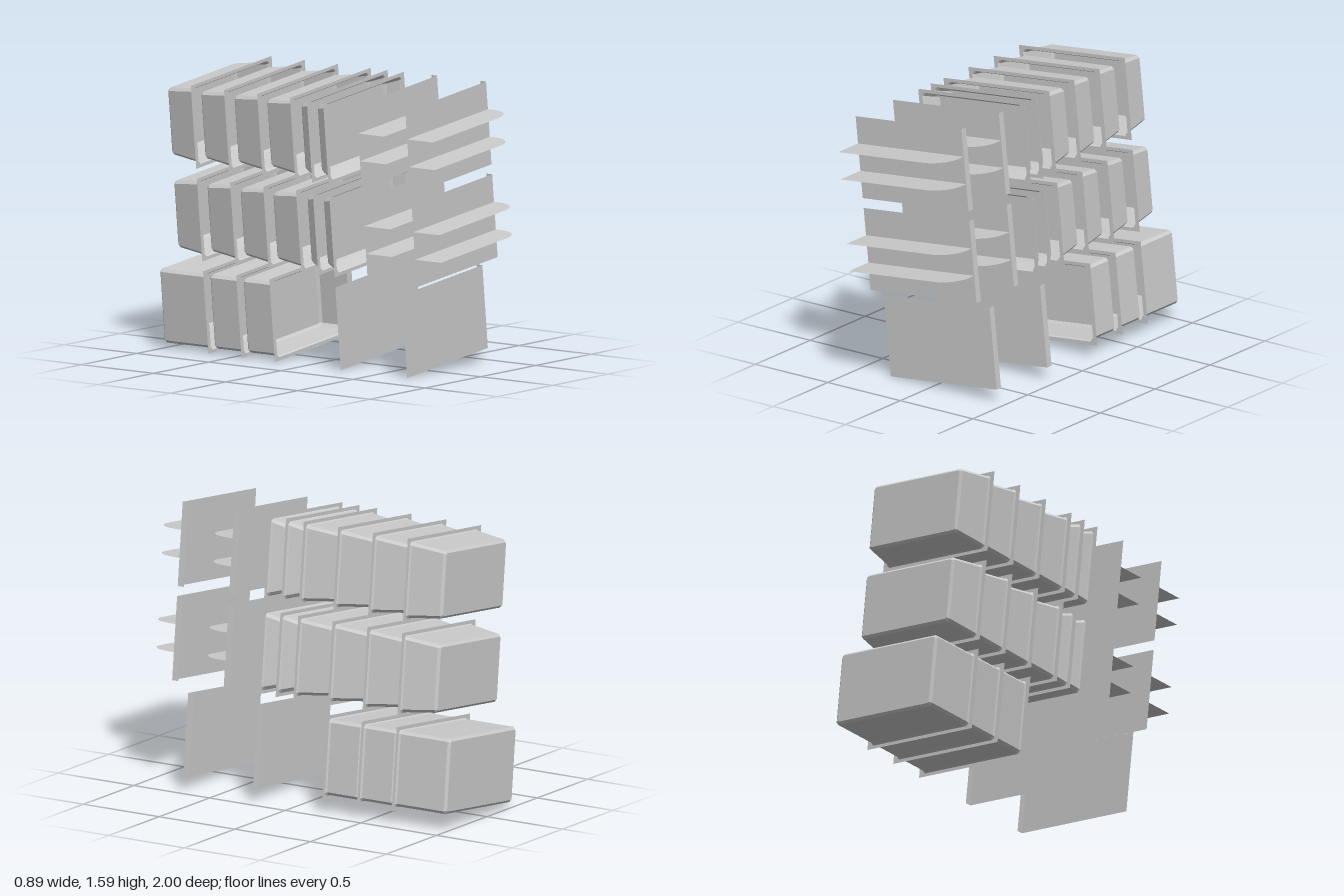
import * as THREE from 'three';

const W = 0.367, H = 0.235;      // half width and half height of every plate
const ROW = 0.526, TILT = 0.105; // row spacing, overall lean
const mat = new THREE.MeshStandardMaterial({ color: 0xcccccc, side: THREE.DoubleSide, flatShading: true });

function add(parent, name, geometry, x = 0, y = 0, z = 0) {
  const mesh = new THREE.Mesh(geometry, mat);
  mesh.name = name;
  mesh.position.set(x, y, z);
  parent.add(mesh);
  return mesh;
}

// Rectangle with cut corners, counter-clockwise seen from +z
function cutRect(hw, hh, c) {
  return [[hw, c - hh], [hw, hh - c], [hw - c, hh], [c - hw, hh],
    [-hw, hh - c], [-hw, c - hh], [c - hw, -hh], [hw - c, -hh]];
}

// Thin shell lofted from front to back sections [z, halfWidth, halfHeight, cut], closed at the back
function shell(sections) {
  const pos = [];
  const rings = sections.map(([z, hw, hh, c]) => cutRect(hw, hh, c).map(([x, y]) => [x, y, z]));
  for (let r = 0; r + 1 < rings.length; r++) {
    for (let i = 0; i < 8; i++) {
      const j = (i + 1) % 8, a = rings[r], b = rings[r + 1];
      pos.push(...a[i], ...b[i], ...b[j], ...a[i], ...b[j], ...a[j]);
    }
  }
  const end = rings[rings.length - 1];
  for (let i = 1; i < 7; i++) pos.push(...end[0], ...end[i + 1], ...end[i]);
  const g = new THREE.BufferGeometry();
  g.setAttribute('position', new THREE.Float32BufferAttribute(pos, 3));
  g.computeVertexNormals();
  return g;
}

// Open tray with a flat rim, opening towards the front
function tray(parent, y, z, depth, taperX, taperY) {
  const g = new THREE.Group();
  g.name = 'tray';
  g.position.set(0, y, z);
  parent.add(g);
  const hw = 0.336, hh = 0.21, c = 0.016;
  const rim = new THREE.Shape([[-W, -H], [W, -H], [W, H], [-W, H]].map(p => new THREE.Vector2(...p)));
  rim.holes.push(new THREE.Path(cutRect(hw + 0.006, hh + 0.006, c).reverse().map(p => new THREE.Vector2(...p))));
  add(g, 'trayRim', new THREE.ShapeGeometry(rim));
  const bw = hw - taperX, bh = hh - taperY;
  add(g, 'trayShell', shell([
    [0, hw + 0.006, hh + 0.006, c],
    [-0.01, hw, hh, c],
    [-depth + 0.014, bw, bh, c],
    [-depth, bw - 0.014, bh - 0.014, 0.006],
  ]));
}

// Shelf outline: square left corner, rounded right corner
function shelfGeometry() {
  const d = 0.18, r = 0.14;
  const s = new THREE.Shape();
  s.moveTo(-W, 0);
  s.lineTo(W, 0);
  s.lineTo(W, -(d - r));
  s.absarc(W - r, -(d - r), r, 0, -Math.PI / 2, true);
  s.lineTo(-W, -d);
  s.closePath();
  return new THREE.ShapeGeometry(s, 10).rotateX(-Math.PI / 2);
}

// Front plate with a folded right edge, optionally carrying two shelves
function panel(parent, y, z, shelves) {
  const g = new THREE.Group();
  g.name = 'panel';
  g.position.set(0, y, z);
  parent.add(g);
  add(g, 'panelFace', new THREE.PlaneGeometry(2 * W, 2 * H));
  add(g, 'panelSideFold', new THREE.PlaneGeometry(0.04, 2 * H).rotateY(Math.PI / 2), W, 0, -0.02);
  if (shelves) for (const s of [-1, 1]) add(g, 'shelf', shelfGeometry(), 0, s * H / 3, 0);
}

export function createModel() {
  const model = new THREE.Group();
  model.name = 'trayRack';
  const rack = new THREE.Group();
  rack.name = 'leaningRack';
  rack.position.y = 0.797;
  rack.rotation.z = TILT;
  model.add(rack);

  // Middle and top rows: shelved panels and tapered trays
  for (const y of [0, ROW]) {
    for (const z of [0.82, 0.48]) panel(rack, y, z, true);
    for (const [z, depth] of [[0.25, 0.095], [0.137, 0.095], [0.02, 0.215], [-0.207, 0.215], [-0.437, 0.215], [-0.667, 0.215]]) {
      tray(rack, y, z, depth, 0.026, 0.02);
    }
  }

  // Bottom row: plain panels and straight trays
  for (const z of [0.71, 0.25]) panel(rack, -ROW, z, false);
  for (const [z, depth] of [[-0.207, 0.215], [-0.437, 0.215], [-0.667, 0.333]]) tray(rack, -ROW, z, depth, 0, 0);

  return model;
}
